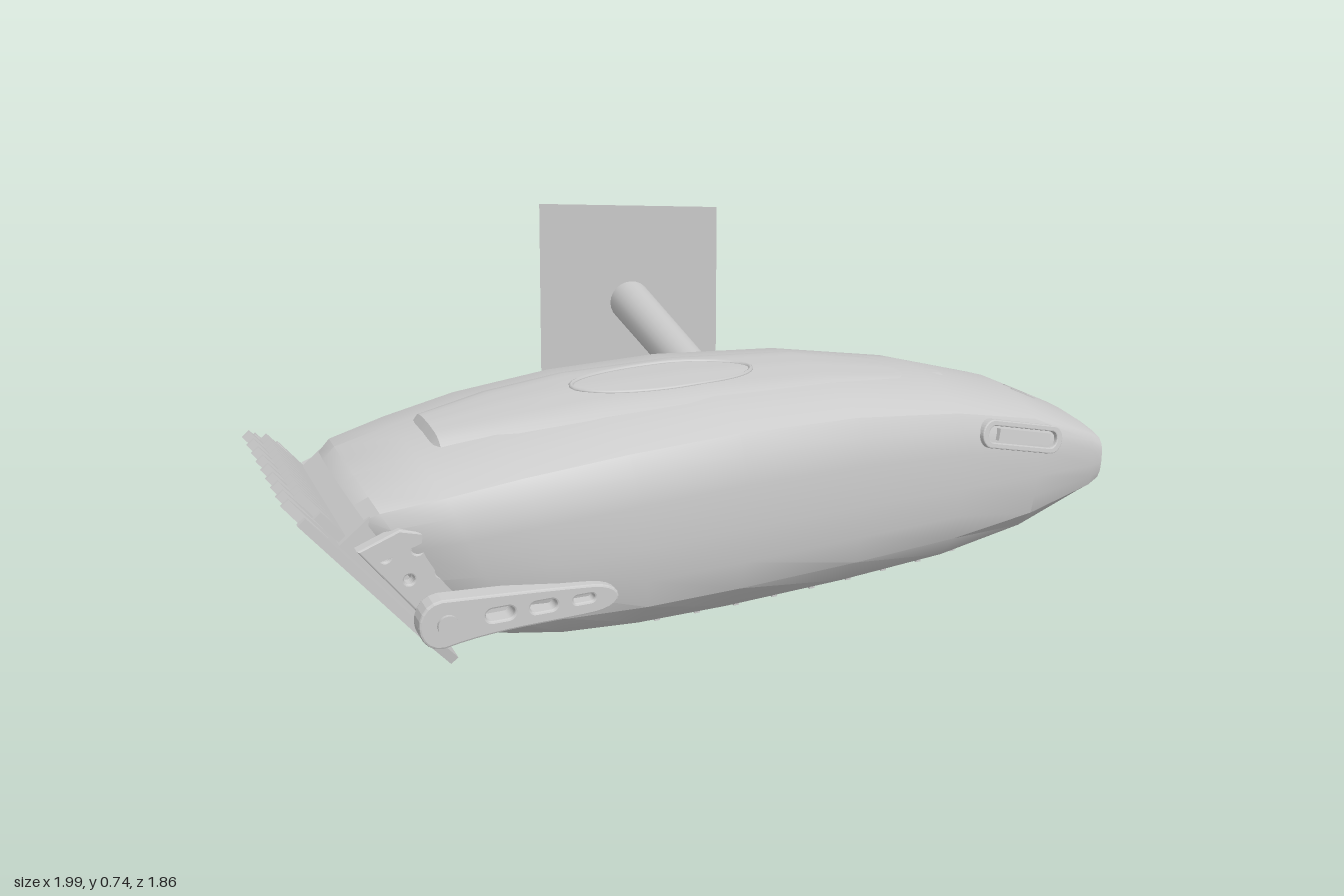
import * as THREE from 'three';
import { toCreasedNormals } from 'three/addons/utils/BufferGeometryUtils.js';

const mat = new THREE.MeshStandardMaterial({ color: 0xcccccc, side: THREE.DoubleSide });

function add(parent, name, geo, x = 0, y = 0, z = 0) {
  const m = new THREE.Mesh(geo, mat);
  m.name = name;
  m.position.set(x, y, z);
  parent.add(m);
  return m;
}

// Body stations: [x at top, x at bottom, bottom y, top y, half width]
const ROWS = [
  [-0.95, -0.74, 0.08, 0.42, 0.25], [-0.92, -0.71, 0.05, 0.445, 0.275],
  [-0.78, -0.6, 0.03, 0.475, 0.31], [-0.6, -0.48, 0.015, 0.508, 0.335],
  [-0.35, -0.3, 0.005, 0.533, 0.345], [-0.07, -0.07, 0, 0.54, 0.333],
  [0.25, 0.25, 0, 0.52, 0.302], [0.55, 0.55, 0.005, 0.468, 0.257],
  [0.8, 0.8, 0.035, 0.393, 0.212], [1.0, 1.0, 0.095, 0.293, 0.17],
  [1.035, 1.035, 0.115, 0.268, 0.158],
];
// Half cross-section: [width factor, height factor], bottom to top
const HALF = [[0, 0], [0.58, 0], [0.68, 0.03], [0.92, 0.18], [0.98, 0.32], [1, 0.48],
  [1, 0.68], [0.97, 0.81], [0.89, 0.895], [0.7, 0.95], [0.35, 0.99], [0, 1]];
const RING = [...HALF, ...HALF.slice(1, -1).reverse().map(([f, t]) => [-f, t])];
const mix = THREE.MathUtils.lerp;

function rowAt(u) {
  let i = 0;
  while (i < ROWS.length - 2 && u > ROWS[i + 1][0]) i++;
  const k = (u - ROWS[i][0]) / (ROWS[i + 1][0] - ROWS[i][0]);
  return ROWS[i].map((v, n) => mix(v, ROWS[i + 1][n], k));
}

// Height of the upper body surface
function topAt(u, w) {
  const [, , yb, yt, hw] = rowAt(u);
  const f = Math.min(Math.abs(w) / hw, 0.98);
  let j = HALF.length - 1;
  while (HALF[j - 1][0] < f) j--;
  const [f1, t1] = HALF[j], [f0, t0] = HALF[j - 1];
  return mix(yb, yt, mix(t1, t0, (f - f1) / (f0 - f1)));
}

// Height of the lid above the body at v (-1..1) across its width
const lidLift = (u, v) => 0.02 * (1 - v ** 6) * THREE.MathUtils.clamp((0.1 - u) / 0.8, 0.2, 1) - 0.002;

// Surface from rows of points, optionally closed round and capped
function skin(rows, capped, crease) {
  const n = rows[0].length, idx = [], pts = rows.flat();
  for (let i = 0; i < rows.length - 1; i++) {
    for (let j = 0; j < (capped ? n : n - 1); j++) {
      const a = i * n + j, c = i * n + (j + 1) % n;
      idx.push(a, a + n, c, a + n, c + n, c);
    }
  }
  if (capped) {
    const e = (rows.length - 1) * n;
    for (let j = 1; j < n - 1; j++) idx.push(0, j, j + 1, e, e + j + 1, e + j);
  }
  const g = new THREE.BufferGeometry();
  g.setAttribute('position', new THREE.Float32BufferAttribute(pts.flat(), 3));
  g.setIndex(idx);
  return toCreasedNormals(g, crease);
}

function extrude(shape, depth, bevel = 0) {
  return new THREE.ExtrudeGeometry(shape, {
    depth, bevelEnabled: bevel > 0, bevelSize: bevel, bevelThickness: bevel, bevelSegments: 2, curveSegments: 10,
  });
}

function slot(x, y, half, r) {
  const p = new THREE.Path();
  p.absarc(x + half, y, r, -Math.PI / 2, Math.PI / 2);
  p.absarc(x - half, y, r, Math.PI / 2, Math.PI * 1.5);
  return p;
}

// Plate with spiked teeth between two broad end guards
function combShape(half, y0, yRoot, yTip, yGuard, teeth) {
  const s = new THREE.Shape(), inner = half - 0.03, p = 2 * inner / teeth;
  s.moveTo(-half * 0.93, y0);
  s.lineTo(half * 0.93, y0);
  s.lineTo(half, y0 + 0.08);
  s.lineTo(half, yGuard);
  s.lineTo(half - 0.012, yGuard);
  for (let i = 0; i < teeth; i++) {
    const x = inner - i * p;
    s.lineTo(x, yRoot);
    s.lineTo(x - p * 0.42, yTip);
    s.lineTo(x - p * 0.55, yTip);
    s.lineTo(x - p * 0.9, yRoot);
  }
  s.lineTo(-inner, yRoot);
  s.lineTo(-half + 0.012, yGuard);
  s.lineTo(-half, yGuard);
  s.lineTo(-half, y0 + 0.08);
  return s;
}

function buildBody(g) {
  add(g, 'body', skin(ROWS.map(([ut, ub, yb, yt, hw]) =>
    RING.map(([f, t]) => [mix(ub, ut, t), mix(yb, yt, t), f * hw])), true, 0.5));

  // Raised top lid with a stepped front lip
  const lidRows = [[-0.74, 0.09], [-0.72, 0.11], [-0.55, 0.15], [-0.35, 0.175], [-0.07, 0.175], [0.25, 0.15], [0.45, 0.11], [0.62, 0.03]];
  add(g, 'topLid', skin(lidRows.map(([u, h], i) => Array.from({ length: 13 }, (_, j) => {
    const v = 1 - j / 6;
    return [u, topAt(u, v * h) + (i === 0 ? -0.01 : lidLift(u, v)), v * h];
  })), false, 0.5));

  // Thumb ring on the lid
  const ring = Array.from({ length: 28 }, (_, i) => {
    const a = i / 14 * Math.PI, u = -0.14 + 0.23 * Math.cos(a), w = 0.09 * Math.sin(a);
    return new THREE.Vector3(u, topAt(u, w) + lidLift(u, w / 0.17), w);
  });
  add(g, 'thumbRing', new THREE.TubeGeometry(new THREE.CatmullRomCurve3(ring, true), 56, 0.006, 6, true));

  // Underside ribs
  for (let i = 0; i < 9; i++) {
    const u = -0.24 + i * 0.105, r = rowAt(u);
    add(g, 'undersideRib', new THREE.BoxGeometry(0.014, 0.008, r[4] * 1.2), u, r[2] + 0.001, 0);
  }
  add(g, 'undersideScrew', new THREE.CylinderGeometry(0.018, 0.018, 0.01, 12), 0.34, 0.003, 0);

  // Tail socket and small marks above it
  add(g, 'tailSocket', new THREE.CylinderGeometry(0.036, 0.036, 0.01, 6), 1.035, 0.19, 0).rotation.z = Math.PI / 2;
  add(g, 'tailPin', new THREE.CylinderGeometry(0.014, 0.014, 0.014, 12), 1.036, 0.19, 0).rotation.z = Math.PI / 2;
  for (const s of [-1, 1]) {
    add(g, 'tailMark', new THREE.BoxGeometry(0.08, 0.006, 0.006), 0.87, topAt(0.87, 0.018) - 0.001, s * 0.018).rotation.z = -0.464;
  }

  // Side switch in its surround
  const sw = new THREE.Group();
  sw.name = 'sideSwitch';
  sw.position.set(0.74, 0.325, 0.21);
  sw.rotation.set(-0.15, 0.18, -0.28, 'YZX');
  g.add(sw);
  const frame = new THREE.Shape(slot(0, 0, 0.105, 0.033).getPoints(8));
  frame.holes.push(slot(0, 0, 0.1, 0.024));
  add(sw, 'switchFrame', extrude(frame, 0.025, 0.003), 0, 0, -0.01);
  add(sw, 'switchSlider', new THREE.BoxGeometry(0.18, 0.03, 0.035), 0.005, 0, 0);
}

function buildBlades(g) {
  const b = new THREE.Group();
  b.name = 'bladeAssembly';
  b.position.set(-0.757, 0.01, -0.02);
  b.rotation.z = 0.675;
  g.add(b);
  const plate = (name, shape, depth, x) => {
    add(b, name, extrude(shape, depth), x).rotation.y = Math.PI / 2;
  };
  plate('outerComb', combShape(0.282, 0, 0.43, 0.55, 0.515, 9), 0.022, 0);
  plate('innerCutter', combShape(0.235, 0.12, 0.43, 0.53, 0.48, 12), 0.02, 0.028);
  add(b, 'bladeHolder', new THREE.BoxGeometry(0.09, 0.34, 0.46), 0.07, 0.23, 0.02);

  // Perforated side brackets
  const s = new THREE.Shape();
  [[0.04, 0.06], [0.13, 0.05], [0.2, 0.1], [0.19, 0.28], [0.14, 0.35], [0.05, 0.38]]
    .forEach(([x, y], i) => (i ? s.lineTo(x, y) : s.moveTo(x, y)));
  for (const [x, y] of [[0.08, 0.33], [0.14, 0.29], [0.08, 0.25], [0.14, 0.21], [0.08, 0.16]]) {
    s.holes.push(new THREE.Path().absarc(x, y, 0.016, 0, Math.PI * 2));
  }
  for (const z of [-0.265, 0.275]) add(b, 'sideBracket', extrude(s, 0.025, 0.004), 0, 0, z);
}

function buildLever(g) {
  const s = new THREE.Shape();
  s.moveTo(-0.8, 0.115);
  s.bezierCurveTo(-0.865, 0.115, -0.865, 0.22, -0.8, 0.222);
  s.bezierCurveTo(-0.7, 0.215, -0.55, 0.205, -0.45, 0.195);
  s.bezierCurveTo(-0.38, 0.185, -0.38, 0.14, -0.45, 0.135);
  s.bezierCurveTo(-0.55, 0.13, -0.68, 0.14, -0.8, 0.115);
  for (const [x, h, r] of [[-0.67, 0.018, 0.02], [-0.57, 0.018, 0.018], [-0.475, 0.016, 0.014]]) s.holes.push(slot(x, 0.17, h, r));
  add(g, 'lever', extrude(s, 0.04, 0.005), 0, 0, 0.312);
  add(g, 'leverPivot', new THREE.CylinderGeometry(0.024, 0.024, 0.16, 16), -0.79, 0.168, 0.285).rotation.x = Math.PI / 2;
  add(g, 'leverArm', new THREE.BoxGeometry(0.16, 0.06, 0.1), -0.7, 0.17, 0.255);
}

function buildStand(g) {
  // Side post
  const a = new THREE.Vector3(-0.055, 0.41, -0.215), c = new THREE.Vector3(-0.373, 0.425, -0.778);
  const post = add(g, 'standPost', new THREE.CylinderGeometry(0.06, 0.053, a.distanceTo(c), 24));
  post.position.copy(a).lerp(c, 0.5);
  post.quaternion.setFromUnitVectors(new THREE.Vector3(0, 1, 0), c.clone().sub(a).normalize());

  // Thin, slightly tilted end plate
  add(g, 'standPlate', skin([
    [[-0.6, 0.735, -0.645], [-0.145, 0.685, -0.915]],
    [[-0.615, 0.18, -0.66], [-0.15, 0.135, -0.93]],
  ], false, 0.5));
}

export function createModel() {
  const model = new THREE.Group();
  model.name = 'hairClipper';
  const clipper = new THREE.Group();
  clipper.name = 'clipper';
  const yaw = 0.62, offset = 0.11;
  clipper.rotation.y = yaw;
  clipper.position.set(offset * Math.sin(yaw), 0, offset * Math.cos(yaw));
  model.add(clipper);
  buildBody(clipper);
  buildBlades(clipper);
  buildLever(clipper);
  buildStand(model);
  return model;
}
